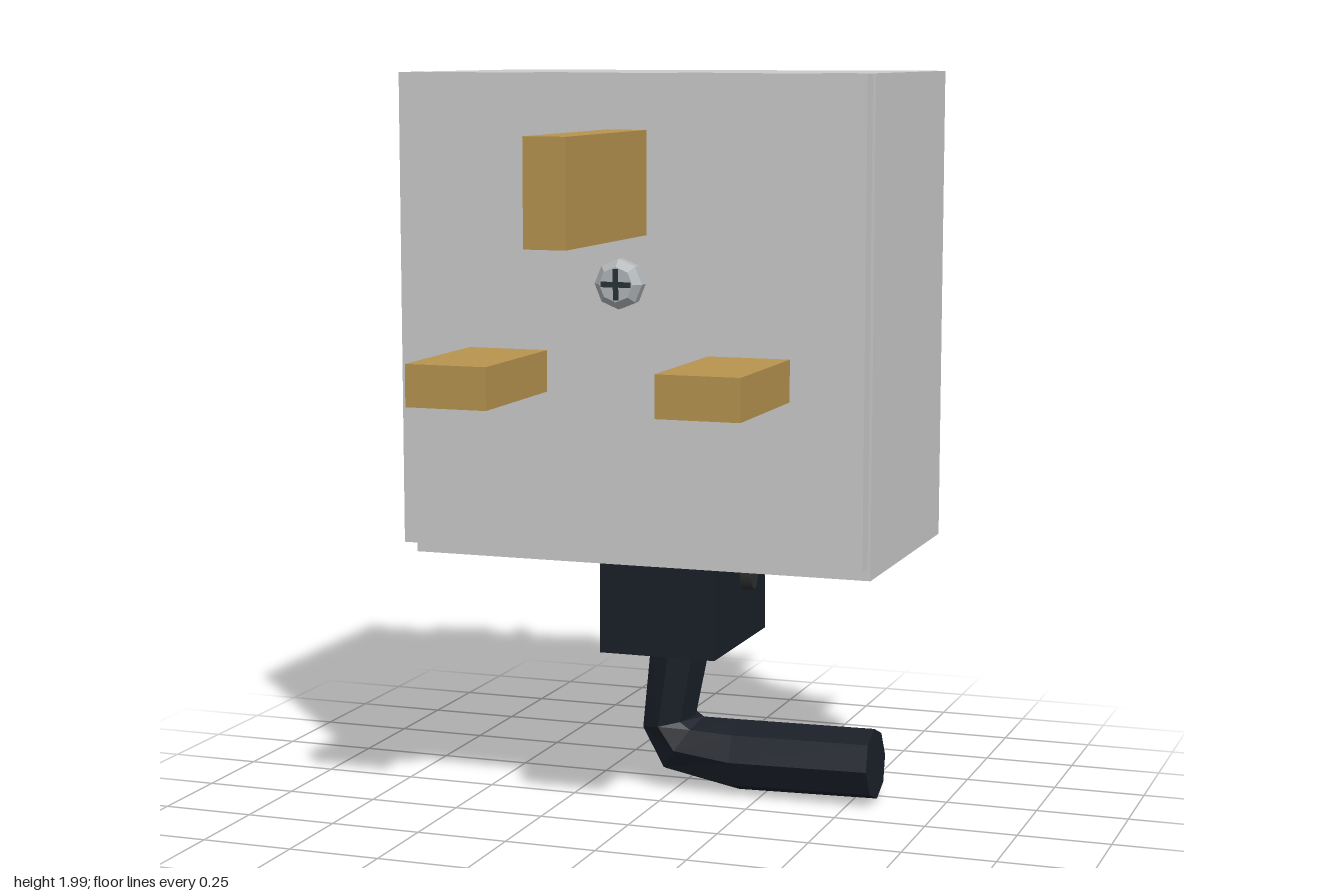
import * as THREE from 'three';

const material = (color, extra = {}) => {
  const m = new THREE.MeshStandardMaterial(extra);
  m.color.set(color);
  return m;
};
const MAT = {
  shell: material(0xcccccc),
  brass: material(0xb8944f),
  steel: material(0xb4b8ba),
  dark: material(0x22303c),
  panel: material(0x2b302e),
  rubber: material(0x1a1f28, { flatShading: true }),
  slot: material(0x2a3338),
  green: material(0x1f8a43),
  yellow: material(0xd8b62c),
  blue: material(0x2f5f9e),
  brown: material(0x7a4023),
};

function add(parent, name, geometry, mat) {
  const mesh = new THREE.Mesh(geometry, mat);
  mesh.name = name;
  parent.add(mesh);
  return mesh;
}

// Box given by its limits on each axis
function box(parent, name, mat, [x0, x1], [y0, y1], [z0, z1]) {
  const mesh = add(parent, name, new THREE.BoxGeometry(x1 - x0, y1 - y0, z1 - z0), mat);
  mesh.position.set((x0 + x1) / 2, (y0 + y1) / 2, (z0 + z1) / 2);
  return mesh;
}

// Domed screw head facing +z, with its base at z = 0
function screwHead(name, radius, height, sides, cross) {
  const g = new THREE.Group();
  g.name = name;
  const profile = [[0, 0], [radius, 0], [radius, height * 0.6], [radius * 0.7, height], [0, height]]
    .map(([r, h]) => new THREE.Vector2(r, h));
  const head = new THREE.LatheGeometry(profile, sides).toNonIndexed();
  head.computeVertexNormals();
  head.rotateX(Math.PI / 2);
  add(g, 'head', head, MAT.steel);
  const l = radius * 0.62, w = radius * 0.11, z = [height * 0.8, height + 0.002];
  box(g, 'slot', MAT.slot, [-l, l], [-w, w], z);
  if (cross) box(g, 'crossSlot', MAT.slot, [-w, w], [-l, l], z);
  return g;
}

// Bent octagonal cable: each ring is [x, y, tilt, in-plane radius]
function cableGeometry() {
  const rings = [
    [0, 0.44, 0, 0.088], [-0.035, 0.195, 0.2, 0.078], [0.01, 0.13, 0.97, 0.096],
    [0.17, 0.11, 1.57, 0.1], [0.563, 0.117, 1.62, 0.098],
  ];
  const n = 8, pos = [], index = [];
  rings.forEach(([x, y, tilt, r]) => {
    for (let i = 0; i < n; i++) {
      const a = (i / n) * Math.PI * 2, c = Math.cos(a) * r;
      pos.push(x + c * Math.cos(tilt), y + c * Math.sin(tilt), -0.19 + Math.sin(a) * 0.102);
    }
  });
  for (let k = 0; k < rings.length - 1; k++) {
    for (let i = 0; i < n; i++) {
      const a = k * n + i, b = k * n + (i + 1) % n;
      index.push(a, b, a + n, b, b + n, a + n);
    }
  }
  const end = (rings.length - 1) * n;
  for (let i = 1; i < n - 1; i++) {
    index.push(0, i + 1, i, end, end + i, end + i + 1);
  }
  const geo = new THREE.BufferGeometry();
  geo.setAttribute('position', new THREE.Float32BufferAttribute(pos, 3));
  geo.setIndex(index);
  geo.computeVertexNormals();
  return geo;
}

// One screw terminal, centred on x = 0, with y = 0 at the shelf underside
function terminal(labelMat) {
  const g = new THREE.Group();
  g.name = 'terminal';
  for (const s of [-1, 1]) {
    box(g, 'sidePanel', MAT.panel, [s * 0.12 - 0.005, s * 0.12 + 0.005], [0.02, 0.225], [-0.76, -0.65]);
    box(g, 'brassCheek', MAT.brass, [s * 0.092 - 0.01, s * 0.092 + 0.01], [0.02, 0.205], [-0.765, -0.66]);
  }
  box(g, 'brassClamp', MAT.brass, [-0.1, 0.1], [0.02, 0.195], [-0.768, -0.752]);
  box(g, 'steelBlock', MAT.steel, [-0.08, 0.08], [0.02, 0.135], [-0.752, -0.665]);
  box(g, 'topStrip', MAT.shell, [-0.125, 0.125], [0.175, 0.225], [-0.77, -0.762]);

  // Ring lug pressed under the screw
  const lug = add(g, 'ringLug', new THREE.TorusGeometry(0.062, 0.009, 6, 20), MAT.steel);
  lug.position.set(0, 0.105, -0.769);

  // Threaded shaft with ridges
  const shaft = add(g, 'screwShaft', new THREE.CylinderGeometry(0.02, 0.02, 0.1, 10), MAT.steel);
  shaft.rotation.x = Math.PI / 2;
  shaft.position.set(0, 0.165, -0.73);
  for (let i = 0; i < 5; i++) {
    const ridge = add(g, 'thread', new THREE.TorusGeometry(0.021, 0.005, 5, 12), MAT.steel);
    ridge.position.set(0, 0.165, -0.69 - i * 0.014);
  }
  const head = screwHead('terminalScrew', 0.05, 0.05, 14, false);
  head.rotation.set(0, Math.PI, 0.35);
  head.position.set(0, 0.165, -0.775);
  g.add(head);

  // Colour tab below the shelf
  box(g, 'colourTab', labelMat, [-0.09, 0.09], [-0.032, 0.005], [-0.77, -0.705]);
  if (labelMat === MAT.green) {
    box(g, 'yellowStripe', MAT.yellow, [-0.02, 0.02], [-0.034, 0], [-0.771, -0.735]);
  }
  return g;
}

// A row of three terminals with shelf and dividers
function terminalRow(y) {
  const g = new THREE.Group();
  g.name = 'terminalRow';
  g.position.y = y;
  box(g, 'rowBack', MAT.dark, [-0.565, 0.565], [0.005, 0.285], [-0.657, -0.594]);
  box(g, 'shelf', MAT.dark, [-0.57, 0.565], [0, 0.022], [-0.808, -0.6]);
  for (const x of [-0.2, 0.2]) {
    box(g, 'divider', MAT.dark, [x - 0.009, x + 0.009], [0, 0.285], [-0.803, -0.6]);
  }
  [MAT.brown, MAT.blue, MAT.green].forEach((mat, i) => {
    const t = terminal(mat);
    t.position.x = (i - 1) * 0.4;
    g.add(t);
  });
  return g;
}

export function createModel() {
  const model = new THREE.Group();
  model.name = 'plugBox';

  // Housing and separate front plate
  box(model, 'housing', MAT.shell, [-0.64, 0.64], [0.7, 2], [-0.565, 0.175]);
  box(model, 'frontPlate', MAT.shell, [-0.64, 0.64], [0.74, 2], [0.205, 0.255]);

  // Pins
  box(model, 'earthPin', MAT.brass, [-0.055, 0.055], [1.585, 1.855], [0.23, 0.825]);
  for (const s of [-1, 1]) {
    box(model, 'flatPin', MAT.brass, [s * 0.333 - 0.11, s * 0.333 + 0.11], [1.167, 1.277], [0.23, 0.667]);
  }

  // Front screw
  const screw = screwHead('frontScrew', 0.065, 0.048, 8, true);
  screw.position.set(0, 1.462, 0.288);
  model.add(screw);

  // Cable grip with side buttons, and the cable
  box(model, 'cableGrip', MAT.rubber, [-0.165, 0.165], [0.42, 0.7], [-0.44, 0.02]);
  for (const s of [-1, 1]) {
    const button = add(model, 'gripButton', new THREE.CylinderGeometry(0.048, 0.052, 0.05, 12), MAT.panel);
    button.scale.set(1, 1, 0.68);
    button.rotation.z = -s * Math.PI / 2;
    button.position.set(s * 0.173, 0.62, -0.237);
  }
  add(model, 'cable', cableGeometry(), MAT.rubber);

  // Rear terminal board
  box(model, 'rearBoard', MAT.dark, [-0.565, 0.565], [0.785, 1.848], [-0.595, -0.56]);
  for (const y of [0.785, 1.557]) model.add(terminalRow(y));
  return model;
}
